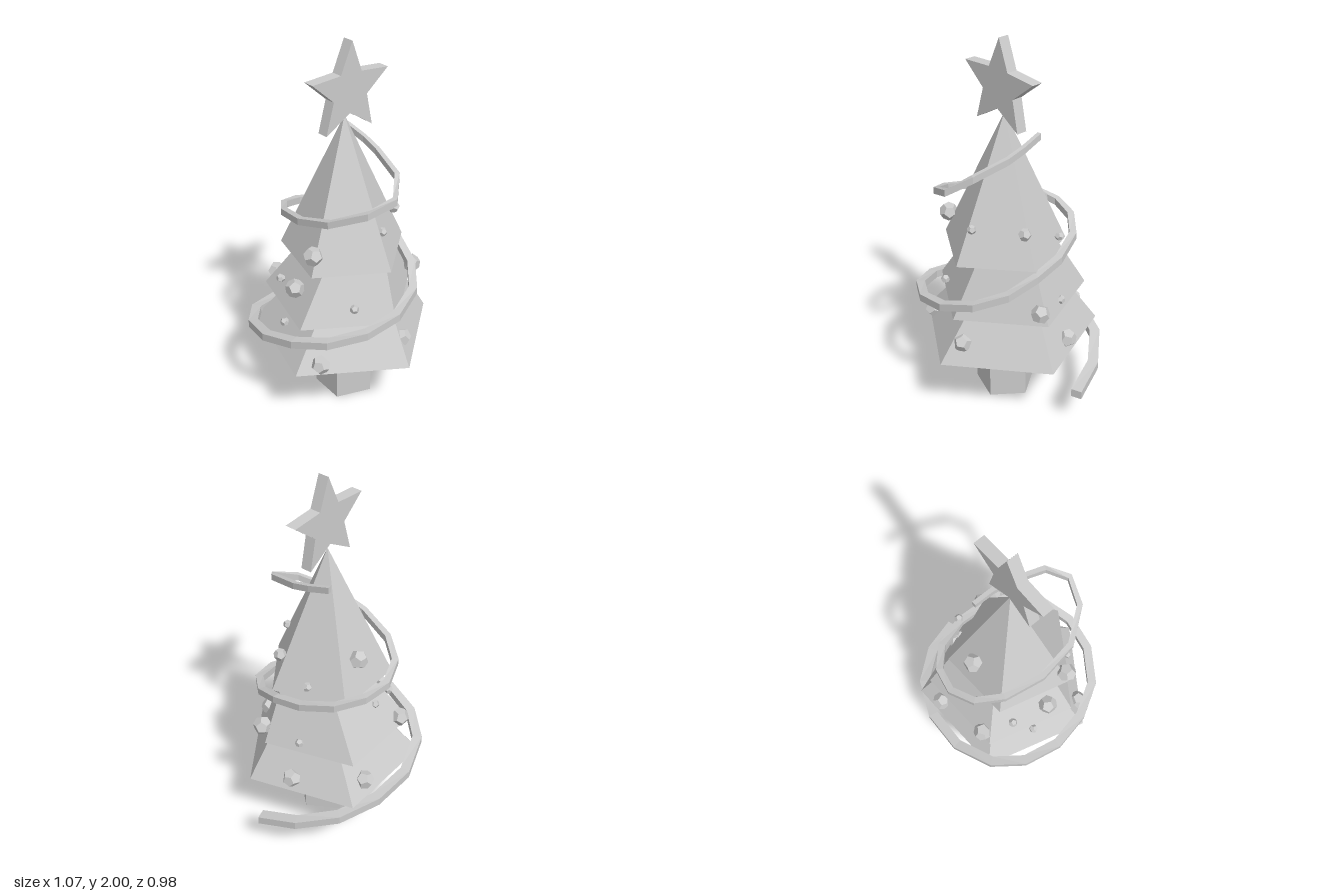
import * as THREE from 'three';

const grey = new THREE.MeshStandardMaterial({ color: 0xcccccc, flatShading: true });

function add(group, name, geometry) {
  const mesh = new THREE.Mesh(geometry, grey);
  mesh.name = name;
  group.add(mesh);
  return mesh;
}

// Five-sided frustum between two rings {x, y, z, r}; the axis may lean.
function frustum(bottom, top, degrees) {
  const g = new THREE.CylinderGeometry(top.r, bottom.r, 1, 5);
  g.rotateY(THREE.MathUtils.degToRad(degrees));
  const p = g.attributes.position;
  for (let i = 0; i < p.count; i++) {
    const c = p.getY(i) > 0 ? top : bottom;
    p.setXYZ(i, p.getX(i) + c.x, c.y, p.getZ(i) + c.z);
  }
  g.computeVertexNormals();
  return g;
}

// Rectangular band swept along points, tapering from start to end.
function band(points) {
  const up = new THREE.Vector3(0, 1, 0);
  const pos = [], idx = [], last = points.length - 1;
  points.forEach((p, i) => {
    const t = points[Math.min(i + 1, last)].clone().sub(points[Math.max(i - 1, 0)]);
    const n = t.cross(up).normalize();
    const k = i / last;
    const w = THREE.MathUtils.lerp(0.029, 0.011, k);
    const h = THREE.MathUtils.lerp(0.023, 0.017, k);
    for (const [a, b] of [[1, 1], [-1, 1], [-1, -1], [1, -1]]) {
      pos.push(p.x + n.x * w * a, p.y + h * b, p.z + n.z * w * a);
    }
    if (i === last) return;
    for (let j = 0; j < 4; j++) {
      const a = i * 4 + j, b = i * 4 + (j + 1) % 4;
      idx.push(a, a + 4, b, b, a + 4, b + 4);
    }
  });
  const e = last * 4;
  idx.push(0, 1, 2, 0, 2, 3, e, e + 2, e + 1, e, e + 3, e + 2);
  const g = new THREE.BufferGeometry();
  g.setAttribute('position', new THREE.Float32BufferAttribute(pos, 3));
  g.setIndex(idx);
  g.computeVertexNormals();
  return g;
}

export function createModel() {
  const tree = new THREE.Group();
  tree.name = 'decoratedTree';

  // Trunk
  add(tree, 'trunk', frustum(
    { x: -0.026, y: 0, z: 0, r: 0.166 }, { x: -0.026, y: 0.38, z: 0, r: 0.166 }, 15));

  // Foliage tiers, bottom to top
  add(tree, 'lowerTier', frustum(
    { x: -0.026, y: 0.365, z: -0.014, r: 0.498 }, { x: 0.005, y: 0.6, z: -0.005, r: 0.33 }, 2));
  add(tree, 'middleTier', frustum(
    { x: -0.031, y: 0.595, z: -0.033, r: 0.417 }, { x: 0.015, y: 0.9, z: 0, r: 0.245 }, 2.3));
  add(tree, 'upperTier', frustum(
    { x: -0.04, y: 0.89, z: 0.008, r: 0.337 }, { x: -0.03, y: 1.62, z: 0, r: 0.002 }, 3));

  // Star
  const star = new THREE.Shape();
  for (let i = 0; i < 10; i++) {
    const r = i % 2 ? 0.108 : 0.243;
    const a = Math.PI / 2 - 0.04 + i * Math.PI / 5;
    star[i ? 'lineTo' : 'moveTo'](r * Math.cos(a), r * Math.sin(a));
  }
  star.closePath();
  add(tree, 'star', new THREE.ExtrudeGeometry(star, { depth: 0.06, bevelEnabled: false }))
    .position.set(-0.03, 1.757, -0.014);

  // Garland winding upwards
  const path = [
    [0.505, 0.2, 0], [0.44, 0.25, -0.2], [0.3, 0.3, -0.37], [0.1, 0.34, -0.46],
    [-0.13, 0.37, -0.47], [-0.34, 0.42, -0.39], [-0.46, 0.46, -0.25], [-0.51, 0.51, -0.06],
    [-0.48, 0.56, 0.13], [-0.39, 0.6, 0.29], [-0.23, 0.64, 0.395], [-0.05, 0.68, 0.42],
    [0.12, 0.73, 0.36], [0.23, 0.78, 0.23], [0.275, 0.84, 0.08], [0.27, 0.88, -0.09],
    [0.21, 0.93, -0.26], [0.1, 0.97, -0.36], [-0.03, 1.0, -0.39], [-0.16, 1.04, -0.34],
    [-0.25, 1.08, -0.22], [-0.3, 1.13, -0.02], [-0.28, 1.19, 0.18], [-0.17, 1.26, 0.33],
    [-0.04, 1.31, 0.375], [0.05, 1.38, 0.29], [0.095, 1.43, 0.1], [0.1, 1.46, 0],
    [0.09, 1.495, -0.12],
  ].map((p) => new THREE.Vector3(...p));
  add(tree, 'garland', band(path));

  // Baubles, by size
  const baubles = new THREE.Group();
  baubles.name = 'baubles';
  tree.add(baubles);
  const large = [
    [-0.22, 0.64, -0.35], [0.11, 0.44, -0.385], [-0.01, 1.08, -0.225], [-0.355, 0.76, -0.01],
    [-0.335, 1.005, 0.12], [-0.376, 0.415, 0.215], [0.04, 0.475, 0.37], [0.347, 0.68, 0.116],
    [0.35, 0.435, -0.088],
  ];
  const medium = [[0.215, 1.075, 0.1]];
  const small = [
    [-0.1, 0.76, -0.27], [-0.3, 0.7, -0.205], [-0.36, 0.5, -0.105], [-0.2, 0.71, 0.272],
    [-0.003, 1.075, 0.253], [0.248, 1.0, -0.112], [0.29, 0.645, -0.093],
  ];
  for (const [list, r] of [[large, 0.05], [medium, 0.034], [small, 0.024]]) {
    const ball = new THREE.DodecahedronGeometry(r);
    list.forEach((p, i) => {
      const b = add(baubles, 'bauble', ball);
      b.position.set(...p);
      b.rotation.set(0.55, i * 0.7, 0);
    });
  }
  return tree;
}
